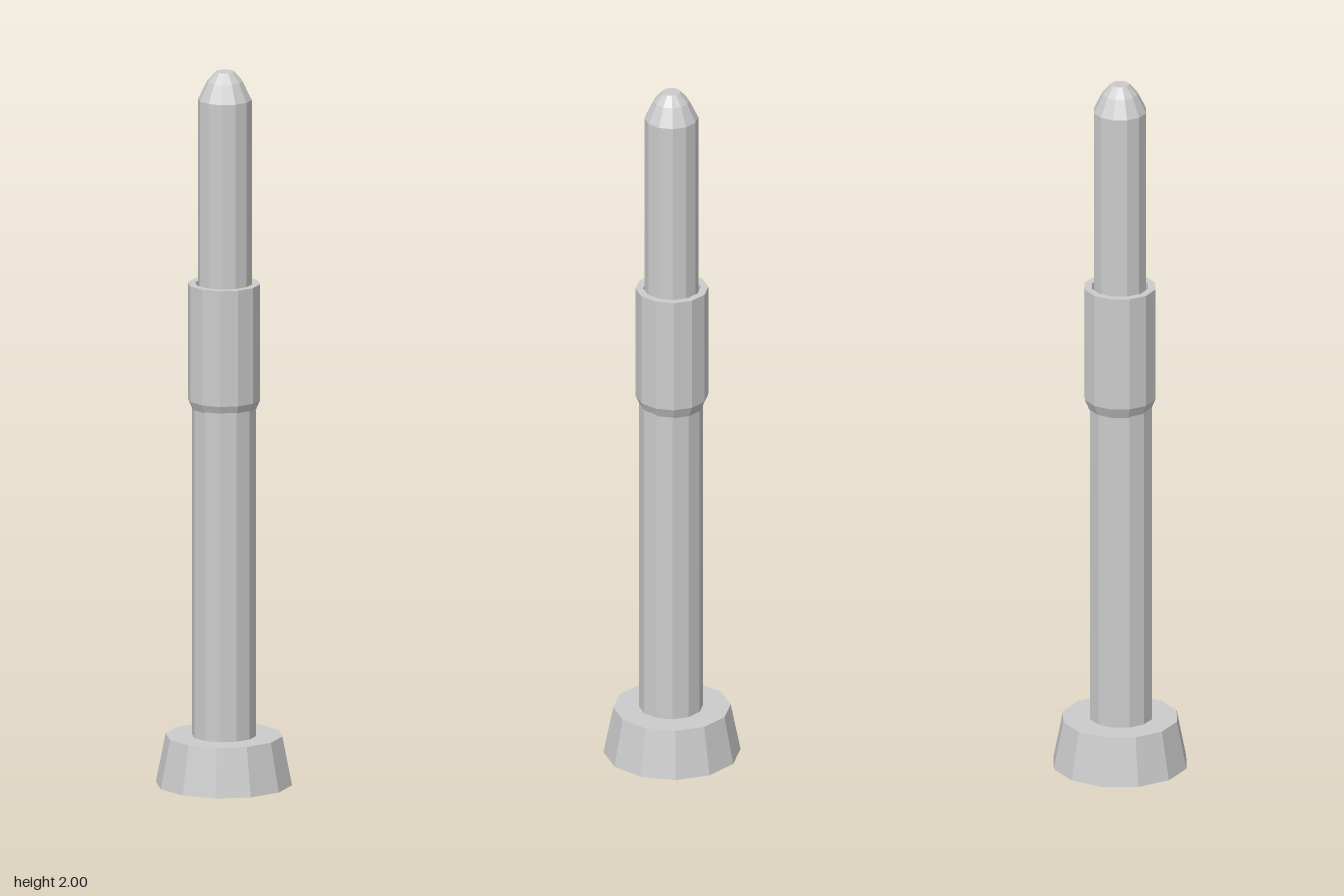
import * as THREE from 'three';

const SIDES = 12;

export function createModel() {
  const model = new THREE.Group();
  const material = new THREE.MeshStandardMaterial({ color: 0xcccccc, flatShading: true });

  // Faceted turned part from [radius, height] pairs, listed bottom to top
  function turned(name, profile, x = 0, z = 0) {
    const points = profile.map(([r, y]) => new THREE.Vector2(r, y));
    const mesh = new THREE.Mesh(new THREE.LatheGeometry(points, SIDES), material);
    mesh.name = name;
    mesh.position.set(x, 0, z);
    model.add(mesh);
  }

  // Tapered foot
  turned('base', [[0, 0], [0.188, 0], [0.161, 0.136], [0, 0.136]]);

  // Lower tube
  turned('lowerTube', [[0.088, 0.13], [0.088, 1.06]], -0.001, 0.003);

  // Collar with a tapered underside and a narrow gap around the rod
  turned('collar', [
    [0.08, 1.05], [0.087, 1.05], [0.1, 1.08], [0.1, 1.405],
    [0.079, 1.405], [0.079, 1.36], [0, 1.36],
  ]);

  // Upper rod with a blunt, two-step nose
  turned('upperRod', [
    [0.074, 1.3], [0.074, 1.922], [0.049, 1.973], [0.025, 2], [0, 2],
  ], 0.002, 0.002);

  return model;
}
